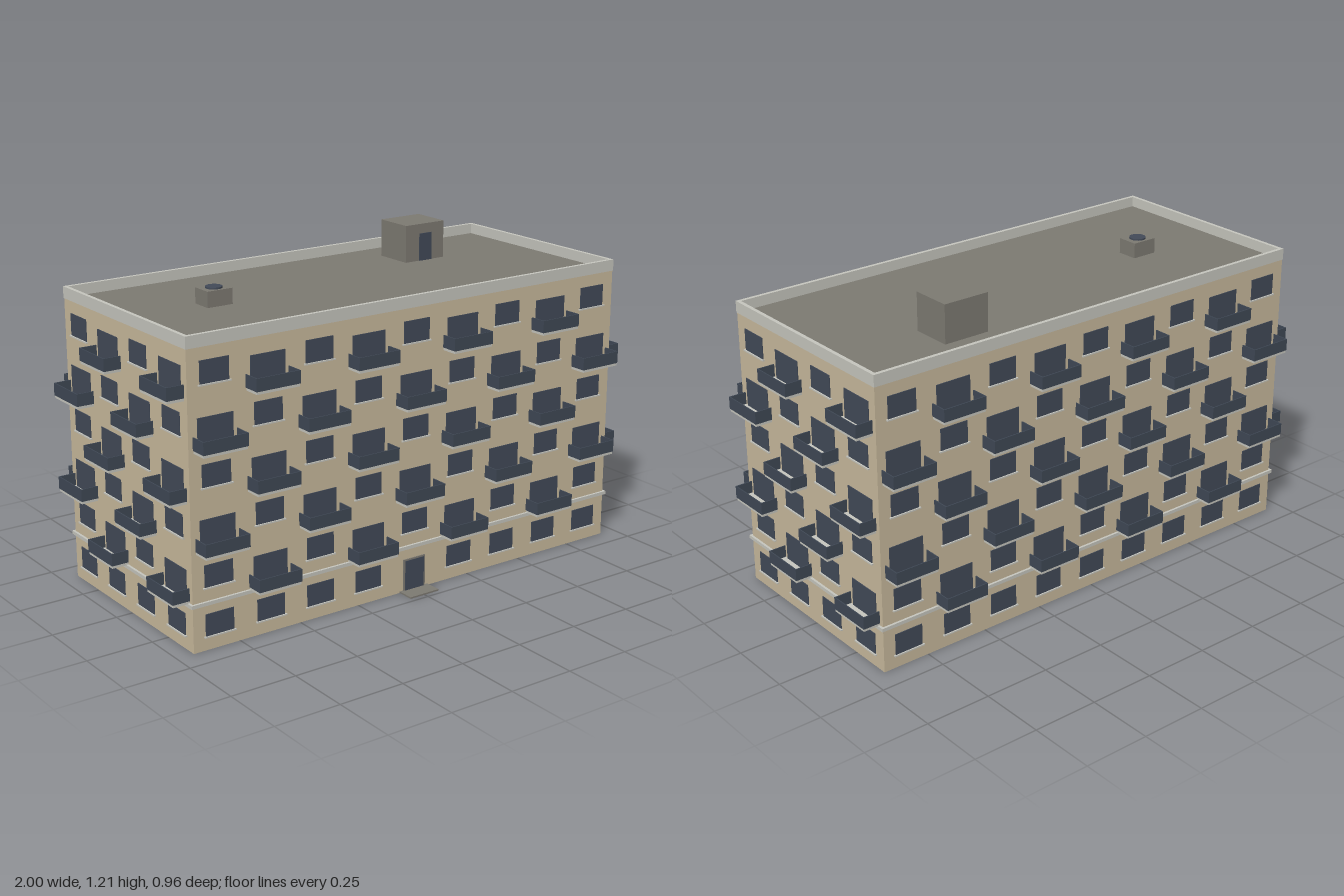
import * as THREE from 'three';

const mat = (name, color) => {
  const m = new THREE.MeshStandardMaterial({ color });
  m.name = name;
  return m;
};

export function createModel() {
  const wall = mat('sandWall', 0xc8b99c);
  const trim = mat('paleTrim', 0xc6c6be);
  const glass = mat('darkGlass', 0x424a58);
  const rail = mat('darkRail', 0x3f4855);
  const roofGrey = mat('roofGrey', 0x7d7a72);

  const HX = 0.934, HZ = 0.415;      // half width and half depth
  const FLOOR = 0.177, FLOORS = 6, BAY = 0.2075;
  const TOP = FLOOR * FLOORS;        // roof level

  const root = new THREE.Group();
  root.name = 'apartmentBlock';

  // Box given by its centre in x and z and by its bottom in y
  const box = (parent, name, m, w, h, d, x, y, z) => {
    const mesh = new THREE.Mesh(new THREE.BoxGeometry(w, h, d), m);
    mesh.name = name;
    mesh.position.set(x, y + h / 2, z);
    parent.add(mesh);
    return mesh;
  };

  // Main volume, roof and string course
  box(root, 'walls', wall, HX * 2, TOP, HZ * 2, 0, 0, 0);
  box(root, 'roof', roofGrey, HX * 2 - 0.02, 0.004, HZ * 2 - 0.02, 0, TOP, 0);
  for (const s of [-1, 1]) {
    box(root, 'parapet', trim, HX * 2 + 0.004, 0.043, 0.014, 0, TOP, s * (HZ - 0.005));
    box(root, 'parapet', trim, 0.014, 0.043, HZ * 2 - 0.024, s * (HX - 0.005), TOP, 0);
    box(root, 'stringCourse', trim, HX * 2 + 0.018, 0.013, 0.009, 0, 0.166, s * (HZ + 0.0045));
    box(root, 'stringCourse', trim, 0.009, 0.013, HZ * 2, s * (HX + 0.0045), 0.166, 0);
  }

  // Window with sill, on a facade whose surface is z = 0
  const addWindow = (parent, x, y) => {
    box(parent, 'window', glass, 0.112, 0.08, 0.004, x, y + 0.052, 0.001);
    box(parent, 'windowSill', trim, 0.125, 0.005, 0.008, x, y + 0.047, 0.004);
  };

  // Balcony: glazed door, slab and three solid railing panels
  const addBalcony = (parent, x, y) => {
    const g = new THREE.Group();
    g.name = 'balcony';
    g.position.set(x, y, 0);
    parent.add(g);
    box(g, 'balconyDoor', glass, 0.138, 0.106, 0.004, 0, 0.011, 0.001);
    box(g, 'balconySlab', trim, 0.17, 0.011, 0.064, 0, 0, 0.032);
    box(g, 'frontRailing', rail, 0.174, 0.046, 0.004, 0, 0.01, 0.064);
    for (const s of [-1, 1])
      box(g, 'sideRailing', rail, 0.004, 0.046, 0.062, s * 0.085, 0.01, 0.031);
  };

  // One facade, with balconies in a chequered pattern above the ground floor
  const addFacade = (name, bays, dist, turn, hasEntrance) => {
    const f = new THREE.Group();
    f.name = name;
    f.rotation.y = turn;
    f.position.set(Math.sin(turn) * dist, 0, Math.cos(turn) * dist);
    root.add(f);
    for (let k = 0; k < FLOORS; k++) {
      for (let i = 0; i < bays; i++) {
        const x = (i - (bays - 1) / 2) * BAY;
        if (k > 0 && (k + i) % 2 === 0) addBalcony(f, x, k * FLOOR);
        else if (!(hasEntrance && k === 0 && x === 0)) addWindow(f, x, k * FLOOR);
      }
    }
    return f;
  };
  const front = addFacade('frontFacade', 9, HZ, 0, true);
  addFacade('leftFacade', 4, HX, Math.PI / 2, false);
  addFacade('backFacade', 9, HZ, Math.PI, false);
  addFacade('rightFacade', 4, HX, -Math.PI / 2, false);

  // Entrance
  box(front, 'entranceFrame', roofGrey, 0.098, 0.126, 0.004, 0, 0, 0.002);
  box(front, 'entranceDoor', glass, 0.084, 0.116, 0.004, 0, 0.004, 0.004);
  box(front, 'entranceStep', roofGrey, 0.128, 0.006, 0.066, 0, 0, 0.033);

  // Stair house on the roof
  box(root, 'stairHouse', roofGrey, 0.182, 0.147, 0.156, 0.463, TOP, -0.207);
  box(root, 'stairHouseDoor', glass, 0.058, 0.106, 0.005, 0.465, TOP + 0.004, -0.128);

  // Roof vent with round cap
  box(root, 'ventBox', roofGrey, 0.102, 0.062, 0.082, -0.556, TOP, -0.021);
  const cap = new THREE.Mesh(new THREE.CylinderGeometry(0.031, 0.031, 0.006, 20), glass);
  cap.name = 'ventCap';
  cap.position.set(-0.556, TOP + 0.065, -0.021);
  root.add(cap);

  return root;
}
